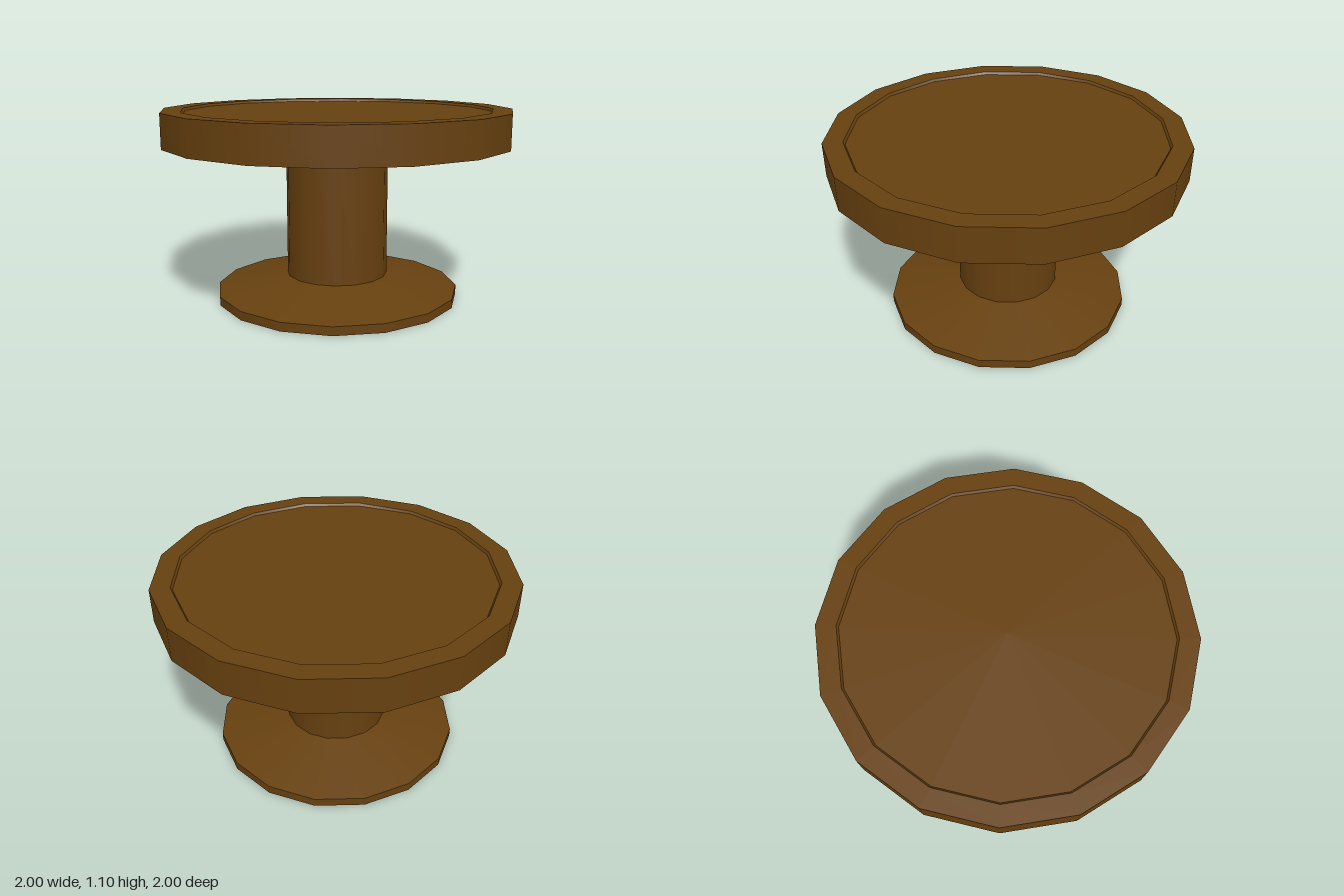
import * as THREE from 'three';
import { mergeGeometries } from 'three/addons/utils/BufferGeometryUtils.js';

const SIDES = 16;

// Turned solid with a crisp edge at each profile point, smooth around the axis
function turned(profile) {
  const bands = [];
  for (let i = 0; i < profile.length - 1; i++) {
    const pair = [profile[i], profile[i + 1]].map(([r, y]) => new THREE.Vector2(r, y));
    bands.push(new THREE.LatheGeometry(pair, SIDES));
  }
  return mergeGeometries(bands);
}

export function createModel() {
  const group = new THREE.Group();
  const wood = new THREE.MeshStandardMaterial({ color: 0x66400f });
  wood.name = 'dark wood';

  const add = (name, profile) => {
    const mesh = new THREE.Mesh(turned(profile), wood);
    mesh.name = name;
    group.add(mesh);
  };

  // Flat foot with a shallow conical top
  add('foot', [[0, 0], [0.71, 0], [0.71, 0.05], [0.295, 0.13]]);

  // Central column
  add('column', [[0.295, 0.13], [0.295, 0.905]]);

  // Thick top with a raised rim around a slightly sunken surface
  add('tableTop', [[0, 0.905], [1, 0.905], [1, 1.1], [0.89, 1.1], [0.88, 1.085], [0, 1.085]]);

  return group;
}
